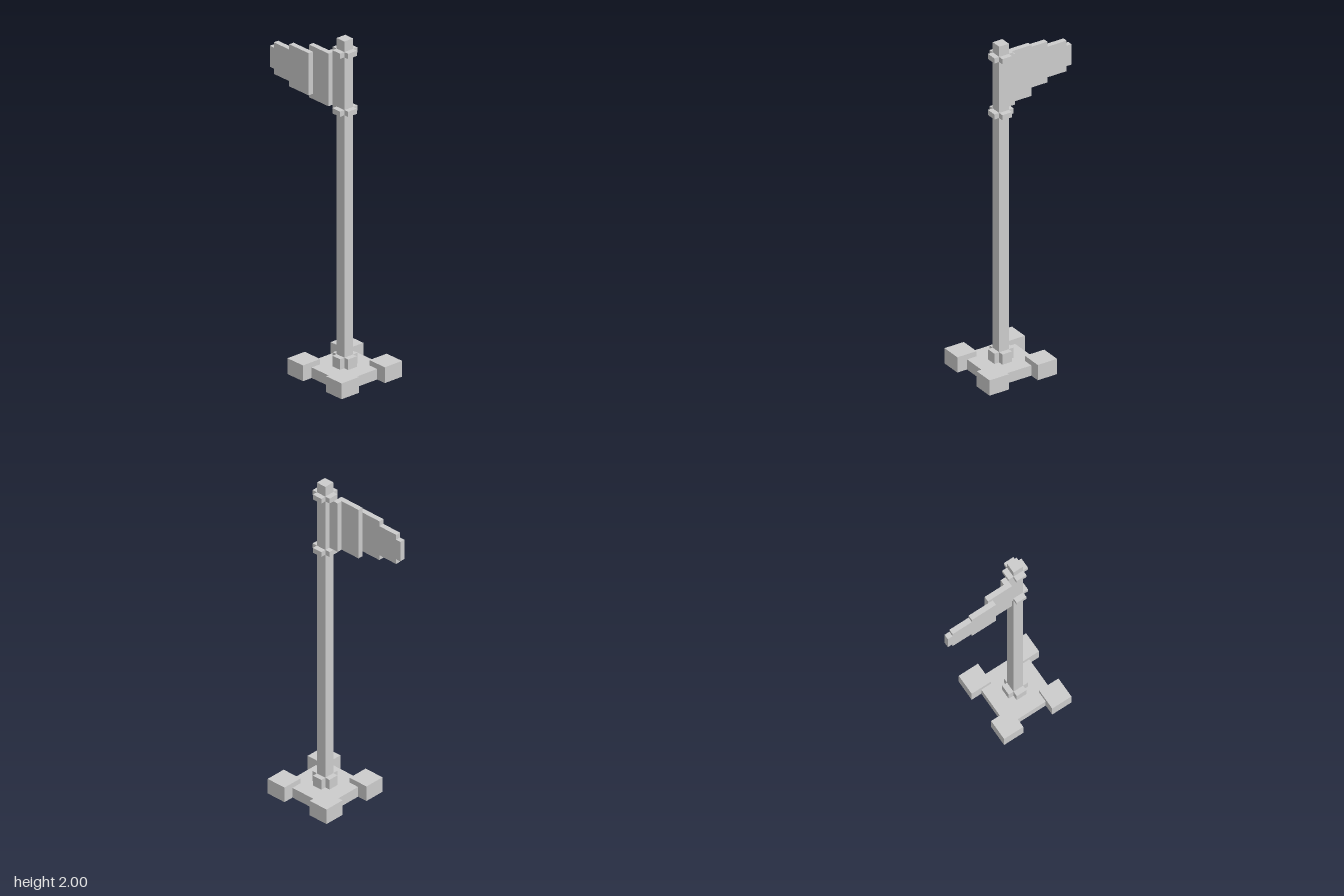
import * as THREE from 'three';

const U = 2 / 64; // block unit; all sizes below are in units
const POLE_Z = 4.5; // pole axis, in units

const material = new THREE.MeshStandardMaterial({ color: 0xcccccc, flatShading: true });

export function createModel() {
  const model = new THREE.Group();
  model.name = 'flagpole';

  const add = (name, geometry) => {
    const mesh = new THREE.Mesh(geometry, material);
    mesh.name = name;
    model.add(mesh);
  };

  // Box given by its limits on each axis
  const block = (name, [x0, x1], [y0, y1], [z0, z1]) => {
    const g = new THREE.BoxGeometry(x1 - x0, y1 - y0, z1 - z0);
    g.translate((x0 + x1) / 2, (y0 + y1) / 2, (z0 + z1) / 2);
    add(name, g);
  };

  // Plus-shaped slab: long half-length a, narrow half-width b
  const plus = (name, a, b, y0, y1) => {
    const outline = [[a, -b], [a, b], [b, b], [b, a], [-b, a], [-b, b],
      [-a, b], [-a, -b], [-b, -b], [-b, -a], [b, -a], [b, -b]];
    const shape = new THREE.Shape(outline.map(([x, y]) => new THREE.Vector2(x, y)));
    const g = new THREE.ExtrudeGeometry(shape, { depth: y1 - y0, bevelEnabled: false });
    g.rotateX(-Math.PI / 2);
    g.translate(0, y0, 0);
    add(name, g);
  };

  // Base with four corner feet
  plus('basePlate', 5, 3, 0, 2);
  for (const x of [-7, 3]) {
    for (const z of [-7, 3]) block('foot', [x, x + 4], [0, 3], [z, z + 4]);
  }

  // Pole and its collars
  block('pole', [-1, 1], [2, 64], [-1, 1]);
  plus('poleSocket', 2, 1, 2, 4);
  plus('lowerCollar', 2, 1, 50, 51);
  plus('upperCollar', 2, 1, 61, 62);

  // Flag, stepping sideways and tapering away from the pole
  block('flagHoist', [-1, 0], [51, 61], [-3, -1]);
  block('flagInner', [-2, -1], [51, 61], [-7, -2]);
  block('flagMiddle', [-3, -2], [52, 60], [-11, -6]);
  block('flagOuter', [-3, -2], [53, 59], [-15, -11]);
  block('flagTip', [-3, -2], [54, 58], [-16, -15]);

  model.scale.setScalar(U);
  model.position.z = POLE_Z * U;
  return model;
}
